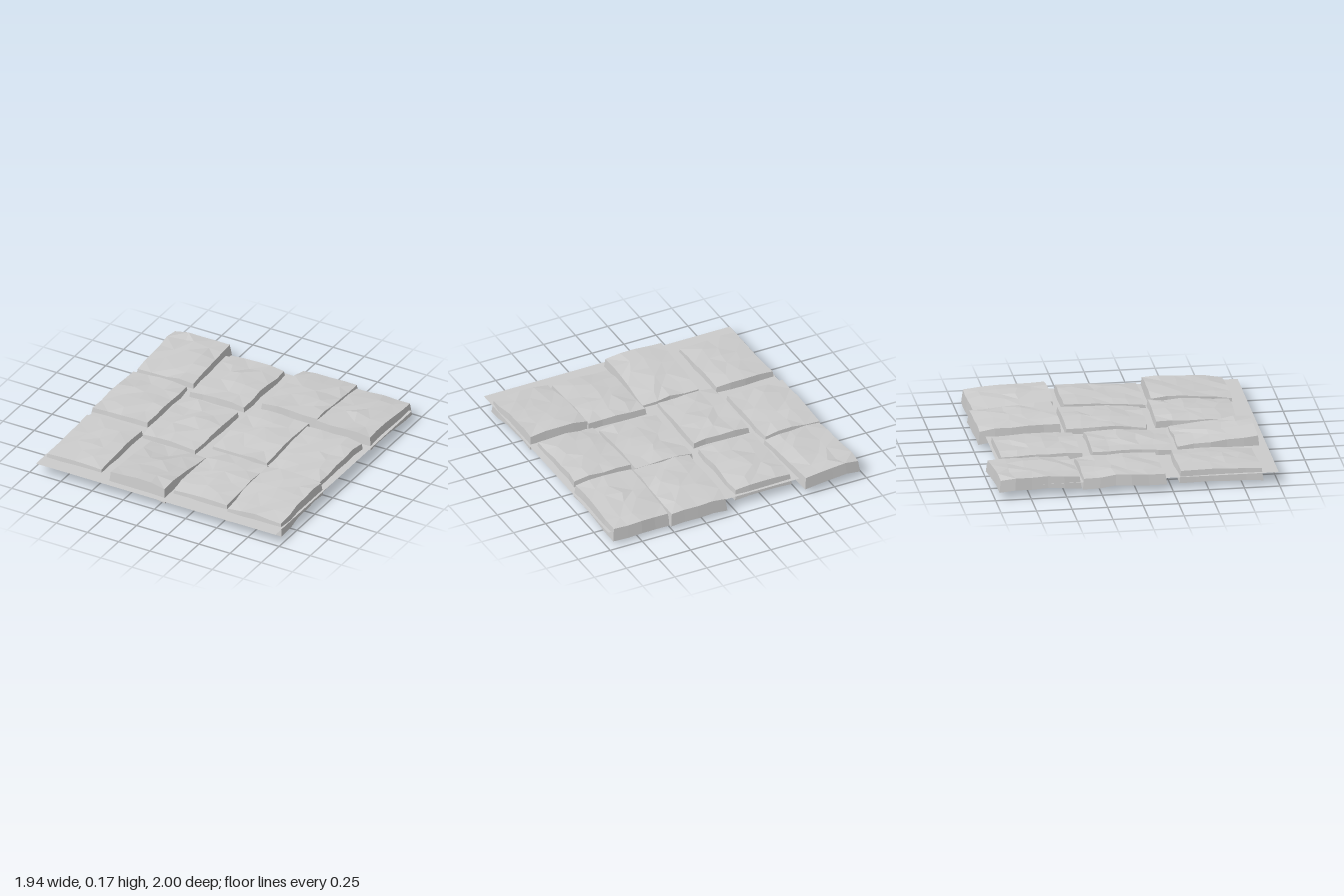
import * as THREE from 'three';

const material = new THREE.MeshStandardMaterial({ color: 0xcccccc, flatShading: true, side: THREE.DoubleSide });
const WIDTH = 0.43, LENGTH = 0.57, NX = 4, NZ = 5;

// Each slab: centre x, centre z, turn, top height at its back and at its front
const slabs = [
  // back row
  [-0.73, -0.69, 0.05, 0.135, 0.12],
  [-0.25, -0.60, 0.00, 0.12, 0.125],
  [0.29, -0.67, 0.00, 0.125, 0.155],
  [0.73, -0.65, 0.00, 0.117, 0.15],
  // middle row
  [-0.735, -0.09, 0.01, 0.115, 0.115],
  [-0.255, 0.05, -0.02, 0.122, 0.112],
  [0.245, -0.06, -0.01, 0.127, 0.108],
  [0.70, -0.01, 0.00, 0.135, 0.112],
  // front row
  [-0.71, 0.595, 0.02, 0.127, 0.108],
  [-0.17, 0.66, 0.00, 0.10, 0.155],
  [0.29, 0.58, 0.00, 0.132, 0.112],
  [0.735, 0.605, 0.02, 0.147, 0.112],
];

function seeded(seed) {
  let s = seed;
  return () => (s = (s * 16807) % 2147483647) / 2147483647;
}

// Open-bottomed stone shell: an uneven top whose outermost grid ring is folded down into walls
function makeSlab([cx, cz, turn, back, front], seed) {
  const rand = seeded(seed * 7919 + 31);
  for (let i = 0; i < 5; i++) rand();
  const jitter = (amount) => (rand() - 0.5) * amount;
  const depth = 0.075 + 0.6 * Math.abs(front - back);

  // Top surface: gentle dome plus chipped irregularity
  const top = [];
  for (let j = 0; j <= NZ; j++) {
    for (let i = 0; i <= NX; i++) {
      const u = i / NX, v = j / NZ;
      const inner = i > 0 && i < NX && j > 0 && j < NZ;
      const slide = inner ? 0.05 : 0.014;
      const dome = 0.01 * Math.sin(Math.PI * u) + 0.008 * Math.sin(Math.PI * v);
      top.push([
        (u - 0.5) * WIDTH + jitter(slide),
        THREE.MathUtils.lerp(back, front, v) + dome + jitter(0.013),
        (v - 0.5) * LENGTH + jitter(slide),
      ]);
    }
  }

  const positions = [], indices = [];
  const w = NX + 3, h = NZ + 3;
  for (let j = -1; j <= NZ + 1; j++) {
    for (let i = -1; i <= NX + 1; i++) {
      const ci = THREE.MathUtils.clamp(i, 0, NX), cj = THREE.MathUtils.clamp(j, 0, NZ);
      const [x, y, z] = top[cj * (NX + 1) + ci];
      const rim = ci !== i || cj !== j;
      if (rim) positions.push(x * 1.05, Math.max(0, y - depth), z * 1.04);
      else positions.push(x, y, z);
    }
  }
  for (let j = 0; j < h - 1; j++) {
    for (let i = 0; i < w - 1; i++) {
      if ((i === 0 || i === w - 2) && (j === 0 || j === h - 2)) continue;
      const a = j * w + i, b = a + 1, e = a + w, f = e + 1;
      if ((i + j) % 3) indices.push(a, e, b, b, e, f);
      else indices.push(a, e, f, a, f, b);
    }
  }
  const geometry = new THREE.BufferGeometry();
  geometry.setAttribute('position', new THREE.Float32BufferAttribute(positions, 3));
  geometry.setIndex(indices);
  geometry.computeVertexNormals();
  const mesh = new THREE.Mesh(geometry, material);
  mesh.position.set(cx, 0, cz);
  mesh.rotation.y = turn;
  return mesh;
}

export function createModel() {
  const group = new THREE.Group();
  group.name = 'stonePaving';

  // Flat ground sheet that the slabs are sunk into
  const sheet = new THREE.Mesh(new THREE.PlaneGeometry(1.92, 1.91).rotateX(-Math.PI / 2), material);
  sheet.position.set(0.01, 0.085, 0.045);
  sheet.name = 'groundSheet';
  group.add(sheet);

  // Paving slabs
  slabs.forEach((slab, i) => {
    const mesh = makeSlab(slab, i + 1);
    mesh.name = `pavingSlab${i + 1}`;
    group.add(mesh);
  });
  return group;
}
